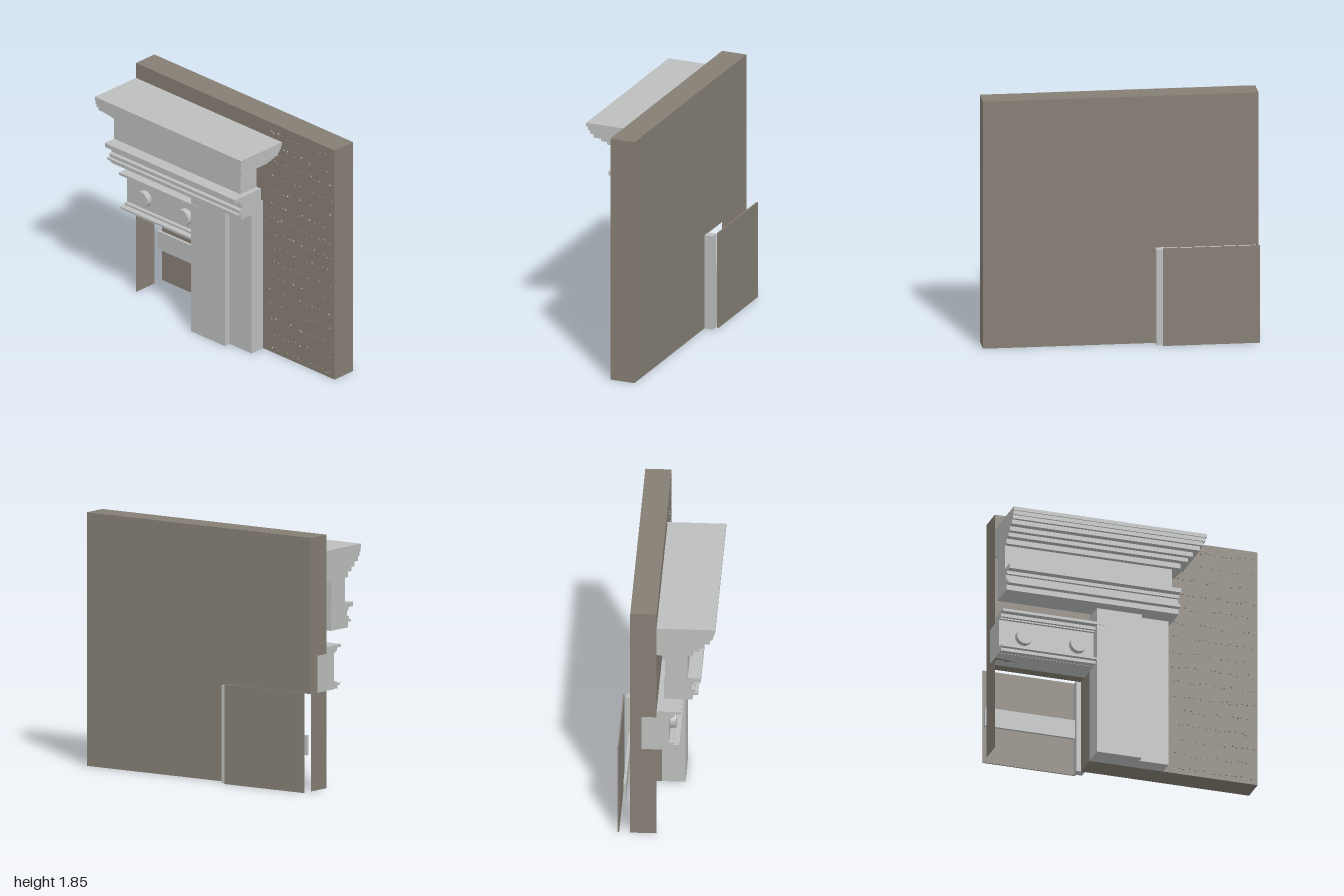
import * as THREE from 'three';

export function createModel() {
  const model = new THREE.Group();
  const wallMat = new THREE.MeshStandardMaterial({ color: 0x857e74 });
  wallMat.name = 'brown wall';
  wallMat.side = THREE.DoubleSide;
  const stone = new THREE.MeshStandardMaterial({ color: 0xbbbebc });
  stone.name = 'pale stone';

  const add = (name, geometry, material, parent = model) => {
    const mesh = new THREE.Mesh(geometry, material);
    mesh.name = name;
    parent.add(mesh);
    return mesh;
  };
  // Box given by its limits on each axis
  const block = (name, mat, x0, x1, y0, y1, z0, z1, parent) => {
    const g = new THREE.BoxGeometry(x1 - x0, y1 - y0, z1 - z0);
    g.translate((x0 + x1) / 2, (y0 + y1) / 2, (z0 + z1) / 2);
    return add(name, g, mat, parent);
  };
  // Moulding: [z, y] section swept along x
  const moulding = (name, points, x0, x1) => {
    const shape = new THREE.Shape(points.map(([z, y]) => new THREE.Vector2(-z, y)));
    const g = new THREE.ExtrudeGeometry(shape, { depth: x1 - x0, bevelEnabled: false });
    g.rotateY(Math.PI / 2).translate(x0, 0, 0);
    return add(name, g, stone);
  };

  // Wall with the opening cut out of its lower corner
  const outline = [[-0.28, 0], [1, 0], [1, 1.85], [-1, 1.85], [-1, 0.71], [-0.28, 0.71]];
  const wall = new THREE.ExtrudeGeometry(
    new THREE.Shape(outline.map(([x, y]) => new THREE.Vector2(x, y))),
    { depth: 0.19, bevelEnabled: false });
  add('wall', wall.translate(0, 0, -0.26), wallMat);
  const endSheet = new THREE.PlaneGeometry(0.19, 0.71);
  endSheet.rotateY(-Math.PI / 2).translate(-1, 0.355, -0.165);
  add('openingEndSheet', endSheet, wallMat);

  // Panel, rail and jamb behind the opening
  block('backPanel', wallMat, -1, -0.295, 0, 0.73, -0.35, -0.34);
  block('rail', stone, -1, -0.31, 0.27, 0.415, -0.31, -0.29);
  block('jamb', stone, -0.315, -0.25, 0, 0.715, -0.325, -0.26);

  // Stepped pilaster
  block('pilasterFront', stone, -0.28, 0.06, 0, 1.14, -0.07, 0.1);
  block('pilasterSide', stone, 0.06, 0.28, 0, 1.14, -0.07, 0.05);
  block('pilasterBackTop', stone, -0.28, 0.28, 1.14, 1.19, -0.07, -0.015);

  // Lintel over the opening
  block('lintel', stone, -1.001, -0.28, 0.71, 0.98, -0.18, 0.02);
  moulding('lintelCrown', [
    [-0.07, 0.975], [0.04, 0.975], [0.04, 0.985], [0.06, 0.985], [0.06, 1.01],
    [0.105, 1.01], [0.105, 1.03], [-0.07, 1.03]], -1, -0.21);
  moulding('lintelBase', [
    [0.01, 0.712], [0.065, 0.712], [0.065, 0.735], [0.095, 0.735], [0.095, 0.75],
    [0.05, 0.75], [0.05, 0.765], [0.01, 0.765]], -1, -0.28);
  for (const x of [-0.815, -0.405]) {
    const disc = new THREE.CylinderGeometry(0.062, 0.062, 0.05, 32);
    add('lintelDisc', disc.rotateX(Math.PI / 2).translate(x, 0.857, 0.04), stone);
  }

  // Architrave and frieze
  moulding('architrave', [
    [-0.015, 1.14], [0.19, 1.14], [0.19, 1.18], [0.23, 1.18], [0.23, 1.195],
    [0.205, 1.195], [0.205, 1.22], [0.18, 1.225], [0.18, 1.262], [0.2, 1.262],
    [0.2, 1.287], [0.25, 1.287], [0.25, 1.32], [-0.015, 1.32]], -1, 0.31);
  block('frieze', stone, -1, 0.27, 1.32, 1.506, -0.01, 0.155);

  // Cornice courses: bottom, top, end x, front z
  const cornice = new THREE.Group();
  cornice.name = 'cornice';
  model.add(cornice);
  [[1.506, 1.545, 0.323, 0.19], [1.545, 1.575, 0.366, 0.235], [1.575, 1.609, 0.393, 0.27],
    [1.609, 1.643, 0.43, 0.315], [1.643, 1.672, 0.447, 0.335], [1.672, 1.702, 0.46, 0.345],
    [1.702, 1.73, 0.47, 0.353]].forEach(([y0, y1, x, z]) =>
    block('corniceCourse', stone, -1, x, y0, y1, -0.07, z, cornice));

  // Rows of small grit along the wall joints
  let seed = 7;
  const rand = () => (seed = (seed * 16807) % 2147483647) / 2147483647;
  const grit = new THREE.Group();
  grit.name = 'wallGrit';
  model.add(grit);
  const chip = new THREE.OctahedronGeometry(1);
  for (let row = 0; row < 16; row++) {
    for (let i = 0; i < 16; i++) {
      const mesh = add('gritChip', chip, rand() < 0.25 ? stone : wallMat, grit);
      mesh.position.set(0.36 + i * 0.04 + (rand() - 0.5) * 0.03,
        0.04 + row * 0.116 + (rand() - 0.5) * 0.025, -0.07);
      mesh.scale.set(0.005 + rand() * 0.005, 0.004 + rand() * 0.004, 0.006);
      mesh.rotation.z = rand() * 3;
    }
  }
  return model;
}
